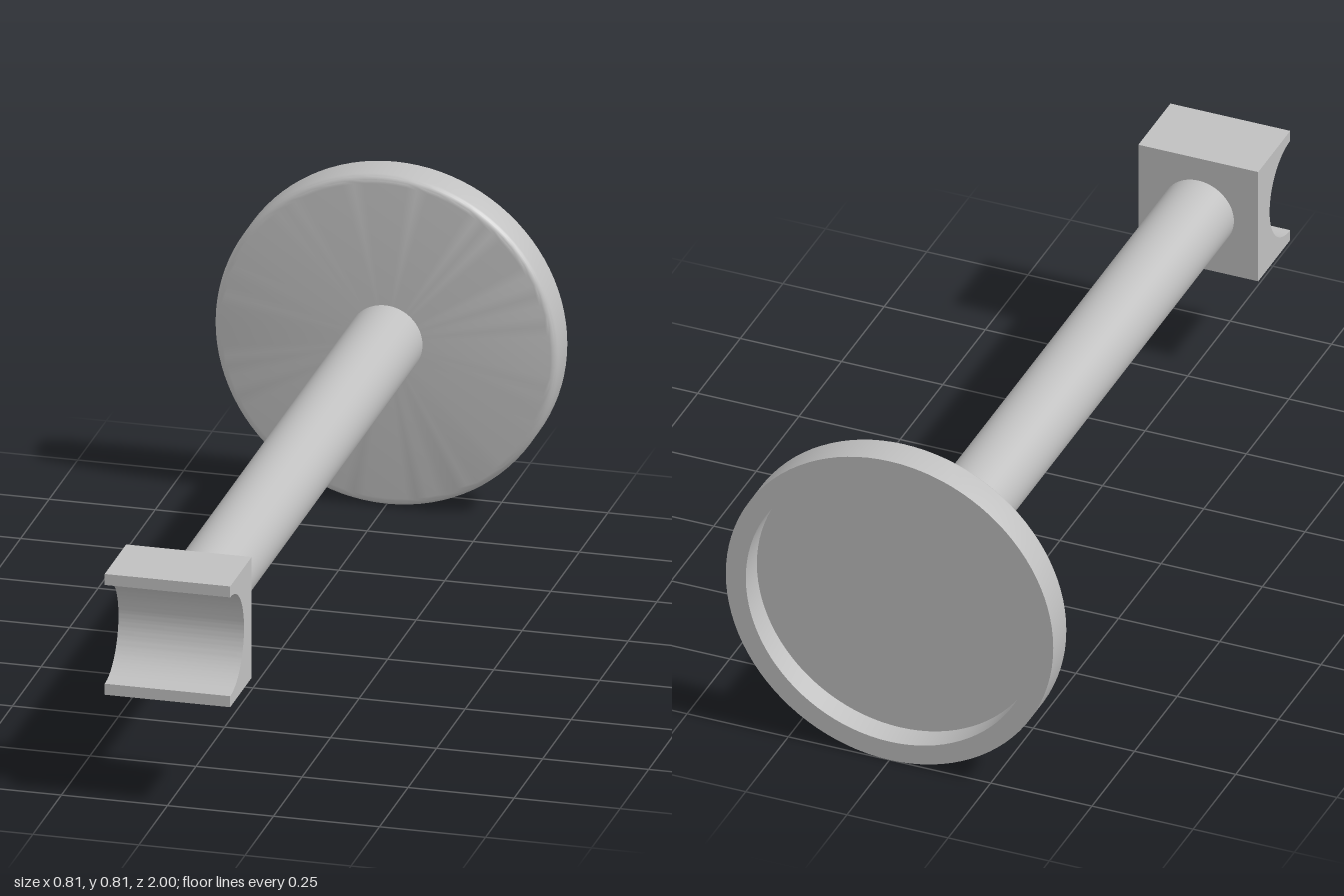
import * as THREE from 'three';
import { toCreasedNormals } from 'three/addons/utils/BufferGeometryUtils.js';

const AXIS_Y = 0.4045; // height of the common axis

export function createModel() {
  const group = new THREE.Group();
  group.name = 'standoffHolder';
  const grey = new THREE.MeshStandardMaterial({ color: 0xc0c0c0 });
  grey.name = 'grey';

  const add = (name, geometry) => {
    const mesh = new THREE.Mesh(geometry, grey);
    mesh.name = name;
    group.add(mesh);
  };

  // Round base: recessed at the back, rounded edge at the front
  const R = 0.4045, thick = 0.093, round = 0.02, recessR = 0.355, recessDepth = 0.065;
  const profile = [[0, recessDepth], [recessR, recessDepth], [recessR, 0], [R, 0]]
    .map(([r, h]) => new THREE.Vector2(r, h));
  for (let i = 0; i <= 6; i++) {
    const a = (i / 6) * Math.PI / 2;
    profile.push(new THREE.Vector2(R - round + round * Math.cos(a), thick - round + round * Math.sin(a)));
  }
  profile.push(new THREE.Vector2(0, thick));
  const base = new THREE.LatheGeometry(profile, 96);
  base.rotateX(Math.PI / 2).translate(0, AXIS_Y, -1);
  add('baseDisc', toCreasedNormals(base, 0.5));

  // Shaft from the base to the cradle
  const z0 = -1 + thick, z1 = 0.812;
  const shaft = new THREE.CylinderGeometry(0.088, 0.088, z1 - z0, 64, 1, true);
  shaft.rotateX(Math.PI / 2).translate(0, AXIS_Y, (z0 + z1) / 2);
  add('shaft', shaft);

  // Cradle block with a half-round groove across its front (shape x runs along z)
  const half = 0.148, grooveR = 0.121;
  const side = new THREE.Shape();
  side.moveTo(z1, -half);
  side.lineTo(1, -half);
  side.lineTo(1, -grooveR);
  side.absarc(1, 0, grooveR, -Math.PI / 2, -Math.PI * 1.5, true);
  side.lineTo(1, half);
  side.lineTo(z1, half);
  side.closePath();
  const cradle = new THREE.ExtrudeGeometry(side, { depth: 2 * half, bevelEnabled: false, curveSegments: 48 });
  cradle.translate(0, 0, -half).rotateY(-Math.PI / 2).translate(0, AXIS_Y, 0);
  add('cradle', toCreasedNormals(cradle, 0.5));

  return group;
}
